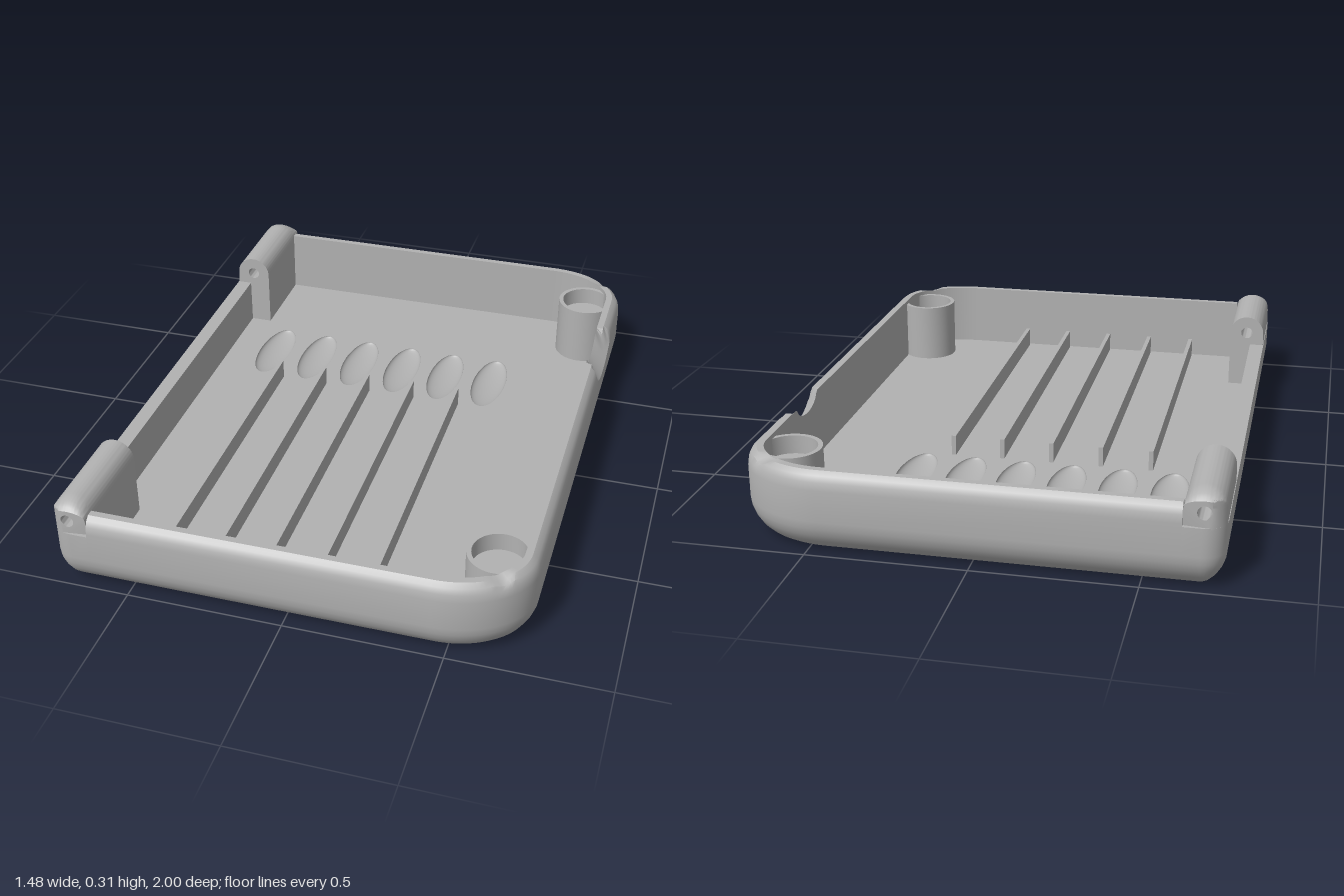
import * as THREE from 'three';
import { toCreasedNormals } from 'three/addons/utils/BufferGeometryUtils.js';

const FLOOR = 0.04, RIM = 0.265, WALL = 0.05, SCOOP_Z = -0.43;
const clamp = THREE.MathUtils.clamp;

// Plan outline (x, -z) inset by d: small corners on the hinge side, broad ones opposite.
function contour(d) {
  const pts = [], L = -0.74 + d, R = 0.735 - d, Z = 1 - d;
  const c = Math.max(0.07 - d, 0.0005), a = 0.28 - d, b = 0.22 - d;
  const arc = (cx, cy, rx, ry, start, n) => {
    for (let i = 0; i <= n; i++) {
      const t = start + (i / n) * Math.PI / 2;
      pts.push(new THREE.Vector2(cx + rx * Math.cos(t), cy + ry * Math.sin(t)));
    }
  };
  const add = (x, y) => pts.push(new THREE.Vector2(x, y));
  arc(L + c, -Z + c, c, c, Math.PI, 8);
  add(-0.6151, -Z); add(-0.6149, -Z);
  arc(R - a, -Z + b, a, b, -Math.PI / 2, 24);
  for (let i = 0; i <= 40; i++) add(R, -SCOOP_Z - 0.17 * Math.cos(i / 40 * Math.PI));
  arc(R - a, Z - b, a, b, 0, 24);
  add(-0.6149, Z); add(-0.6151, Z);
  arc(L + c, Z - c, c, c, Math.PI / 2, 8);
  return pts;
}

// Rim height: lowered hinge side, slight dips at the broad corners, finger scoop.
function rimHeight(x, z, y, d) {
  if (y < 0.15) return y;
  if (x < -0.615) y = Math.min(y, 0.2);
  const dip = clamp((x - 0.6) / 0.05, 0, 1) * clamp((Math.abs(z) - 0.88) / 0.03, 0, 1);
  y = Math.min(y, RIM - 0.02 * dip);
  const s = d / WALL, w = 0.17 - 0.08 * s, q = (z - SCOOP_Z) / w;
  if (x > 0.66 && Math.abs(q) < 1) y = Math.min(y, RIM - (0.095 - 0.05 * s) * Math.sqrt(1 - q * q));
  return y;
}

// Wall shell lofted through rings of [inset, height].
function wallGeometry() {
  const rings = [[0.07, 0], [0.048, 0.014], [0.028, 0.034], [0.012, 0.06], [0.003, 0.085], [0, 0.11],
    [0, 0.21], [0.004, 0.235], [0.013, 0.253], [0.028, RIM], [WALL, RIM], [WALL, FLOOR]];
  const pos = [], idx = [];
  let n = 0;
  for (const [d, y] of rings) {
    const pts = contour(d);
    n = pts.length;
    for (const p of pts) pos.push(p.x, rimHeight(p.x, -p.y, y, d), -p.y);
  }
  for (let j = 0; j < rings.length - 1; j++) {
    for (let i = 0; i < n; i++) {
      const k = (i + 1) % n, a = j * n + i, b = j * n + k;
      idx.push(a, b, b + n, a, b + n, a + n);
    }
  }
  const g = new THREE.BufferGeometry();
  g.setAttribute('position', new THREE.Float32BufferAttribute(pos, 3));
  g.setIndex(idx);
  return toCreasedNormals(g, 0.6);
}

// Hinge knuckle with a pin hole; its outer end is rounded to follow the corner.
function knuckleGeometry() {
  const s = new THREE.Shape();
  s.moveTo(-0.69, FLOOR);
  s.lineTo(-0.615, FLOOR);
  s.lineTo(-0.615, 0.245);
  s.absarc(-0.676, 0.245, 0.061, 0, Math.PI, false);
  s.lineTo(-0.738, 0.195);
  s.lineTo(-0.69, 0.195);
  s.closePath();
  const hole = new THREE.Path();
  hole.absarc(-0.676, 0.245, 0.021, 0, Math.PI * 2, true);
  s.holes.push(hole);
  const g = new THREE.ExtrudeGeometry(s, { depth: 0.355, steps: 36, bevelEnabled: false, curveSegments: 20 });
  g.translate(0, 0, 0.64);
  const p = g.attributes.position;
  for (let i = 0; i < p.count; i++) {
    const y = p.getY(i), z = p.getZ(i), t = (z - 0.93) / 0.07;
    if (t <= 0) continue;
    if (y < 0.19) p.setZ(i, Math.min(z, 0.96));
    const k = Math.sqrt(1 - t * t);
    if (y > 0.266) p.setY(i, 0.266 + (y - 0.266) * k);
    p.setX(i, Math.max(p.getX(i), -0.74 + 0.07 * (1 - Math.max(k, 0.4))));
  }
  return toCreasedNormals(g, 0.6);
}

export function createModel() {
  const group = new THREE.Group();
  const grey = new THREE.MeshStandardMaterial({ color: 0xb2b2b2, side: THREE.DoubleSide });
  grey.name = 'grey plastic';
  const add = (name, geometry, x = 0, y = 0, z = 0) => {
    const m = new THREE.Mesh(geometry, grey);
    m.name = name;
    m.position.set(x, y, z);
    group.add(m);
    return m;
  };

  add('trayWall', wallGeometry());

  // Underside, facing down
  const under = new THREE.ShapeGeometry(new THREE.Shape(contour(0.07)));
  under.rotateX(-Math.PI / 2);
  const index = Array.from(under.index.array).reverse();
  under.setIndex(index);
  under.computeVertexNormals();
  add('underside', under);

  // Floor with a row of oval dents
  const floorShape = new THREE.Shape(contour(WALL));
  const dent = new THREE.SphereGeometry(1, 48, 10, 0, Math.PI * 2, Math.PI / 2, Math.PI / 2);
  dent.scale(0.06, 0.025, 0.16);
  for (let i = 0; i < 6; i++) {
    const x = -0.519 + i * 0.168;
    const hole = new THREE.Path();
    hole.absellipse(x, -SCOOP_Z, 0.06, 0.16, 0, Math.PI * 2, true);
    floorShape.holes.push(hole);
    add('floorDent', dent, x, FLOOR, SCOOP_Z);
  }
  const floor = new THREE.ShapeGeometry(floorShape, 24);
  floor.rotateX(-Math.PI / 2);
  add('floor', floor, 0, FLOOR, 0);

  // Long thin ribs
  const rib = new THREE.BoxGeometry(0.015, 0.07, 1.2);
  for (let i = 0; i < 5; i++) add('rib', rib, -0.435 + i * 0.1675, FLOOR + 0.033, 0.338);

  // Hollow corner posts
  const profile = [[0.1, FLOOR], [0.1, 0.25], [0.085, 0.25], [0.085, 0.19], [0.0001, 0.19]];
  const post = toCreasedNormals(
    new THREE.LatheGeometry(profile.map(([r, y]) => new THREE.Vector2(r, y)), 48), 0.6);
  const knuckle = knuckleGeometry();
  for (const side of [1, -1]) {
    add('cornerPost', post, 0.61, 0, 0.78 * side);
    add('hingeKnuckle', knuckle).scale.z = side;
  }
  return group;
}
